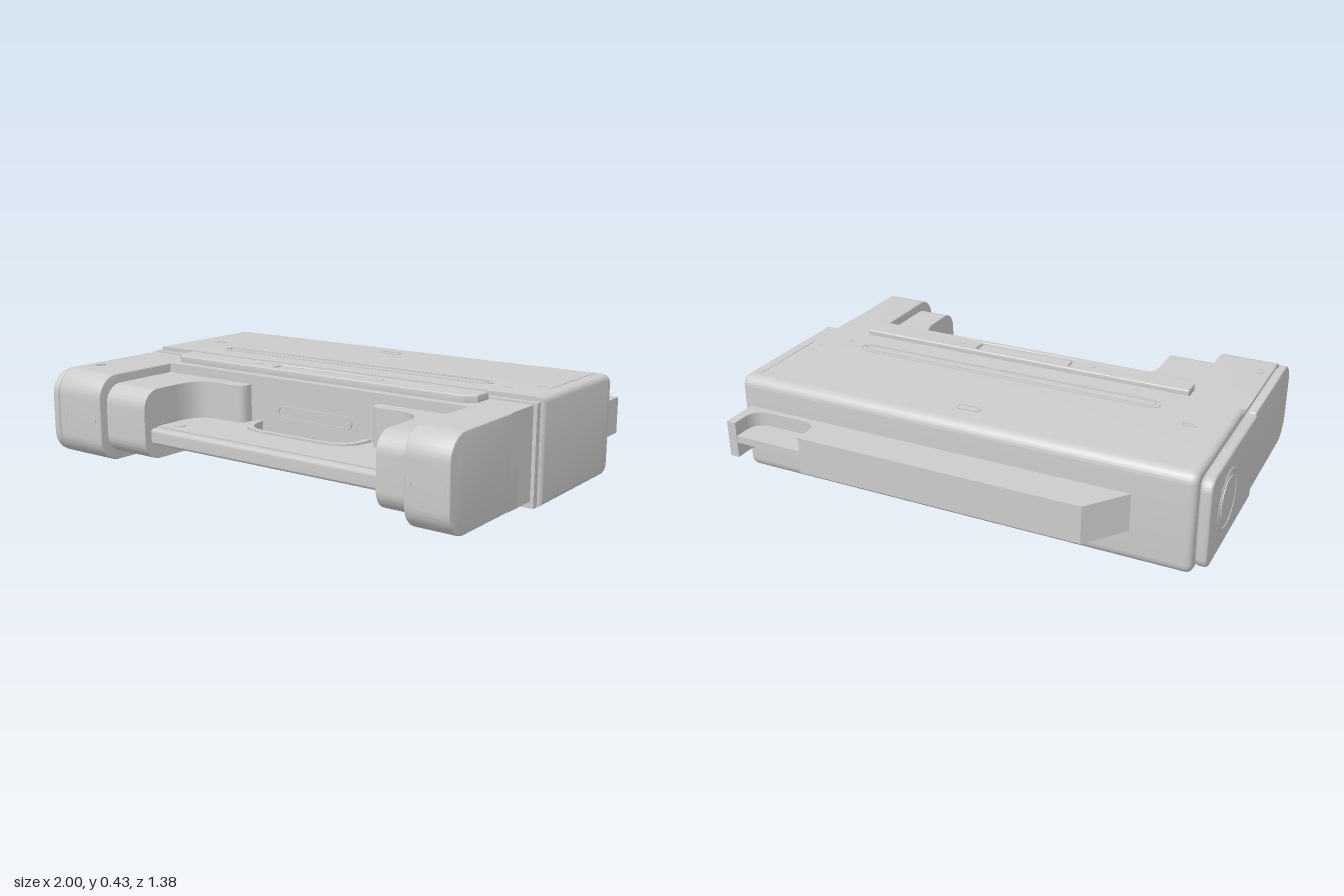
import * as THREE from 'three';
import { toCreasedNormals } from 'three/addons/utils/BufferGeometryUtils.js';

const material = new THREE.MeshStandardMaterial({ color: 0xcccccc });

function add(group, name, geometry) {
  const mesh = new THREE.Mesh(toCreasedNormals(geometry, 0.5), material);
  mesh.name = name;
  group.add(mesh);
  return mesh;
}

function extrude(shape, depth, bevel) {
  return new THREE.ExtrudeGeometry(shape, {
    depth: depth - 2 * bevel, curveSegments: 12, bevelEnabled: bevel > 0,
    bevelSize: bevel, bevelThickness: bevel, bevelOffset: -bevel, bevelSegments: 4,
  }).translate(0, 0, bevel);
}

// Rectangle with separate corner radii at its low and high u ends
function roundRect(u0, v0, u1, v1, rLow, rHigh = rLow, s = new THREE.Shape()) {
  const h = Math.PI / 2;
  s.moveTo(u0 + rLow, v0);
  s.lineTo(u1 - rHigh, v0);
  if (rHigh) s.absarc(u1 - rHigh, v0 + rHigh, rHigh, -h, 0);
  else s.lineTo(u1, v0);
  s.lineTo(u1, v1 - rHigh);
  if (rHigh) s.absarc(u1 - rHigh, v1 - rHigh, rHigh, 0, h);
  s.lineTo(u0 + rLow, v1);
  if (rLow) s.absarc(u0 + rLow, v1 - rLow, rLow, h, 2 * h);
  else s.lineTo(u0, v1);
  s.lineTo(u0, v0 + rLow);
  if (rLow) s.absarc(u0 + rLow, v0 + rLow, rLow, 2 * h, 3 * h);
  return s;
}

// Side profile (back z0 to front z1, y0 to y1) swept from x0 to x1
function sideBlock(x0, x1, y0, y1, z0, z1, rBack, rFront, bevel = 0) {
  return extrude(roundRect(-z1, y0, -z0, y1, rFront, rBack), x1 - x0, bevel)
    .rotateY(Math.PI / 2).translate(x0, 0, 0);
}

// Plan outline drawn as (x, -z), raised from y0 to y1
function plan(shape, y0, y1, bevel = 0) {
  return extrude(shape, y1 - y0, bevel).rotateX(-Math.PI / 2).translate(0, y0, 0);
}

// Points of a U-shaped outline with rounded bottom corners, as (x, -z)
function uPoints(x0, x1, zOpen, zEnd, r) {
  const d = Math.sign(zEnd - zOpen);
  const p = new THREE.Path();
  p.moveTo(x0, -zOpen);
  p.lineTo(x0, -(zEnd - d * r));
  p.quadraticCurveTo(x0, -zEnd, x0 + r, -zEnd);
  p.lineTo(x1 - r, -zEnd);
  p.quadraticCurveTo(x1, -zEnd, x1, -(zEnd - d * r));
  p.lineTo(x1, -zOpen);
  return p.getPoints(10);
}

// Thin outline around a capsule-shaped slot on a top surface
function slotFrame(group, name, cx, cz, w, d, y, t = 0.006) {
  const r = Math.min(w, d) / 2;
  const s = roundRect(cx - w / 2, -cz - d / 2, cx + w / 2, -cz + d / 2, r * 0.98);
  s.holes.push(roundRect(cx - w / 2 + t, -cz - d / 2 + t, cx + w / 2 - t, -cz + d / 2 - t,
    (r - t) * 0.98, undefined, new THREE.Path()));
  add(group, name, plan(s, y - 0.004, y + 0.003));
}

function screw(group, x, y, z, r, facing) {
  const g = new THREE.CylinderGeometry(r, r, 0.008, 16);
  if (facing === 'front') g.rotateX(Math.PI / 2);
  add(group, 'screw', g.translate(x, y, z));
}

export function createModel() {
  const g = new THREE.Group();
  g.name = 'dockingUnit';

  // Rear housing and its front rim
  add(g, 'rearHousing', sideBlock(-0.95, 1, 0, 0.42, -0.53, 0.08, 0.045, 0, 0.025));
  add(g, 'housingRim', sideBlock(-0.945, 0.985, 0.003, 0.402, 0.05, 0.105, 0, 0));

  // Front casing: cross wall, outer arms, stepped inner arms
  add(g, 'crossWall', sideBlock(-0.95, 0.97, 0.03, 0.395, 0.05, 0.27, 0, 0));
  for (const [x0, x1] of [[-0.95, -0.7], [0.79, 0.97]])
    add(g, 'outerArm', sideBlock(x0, x1, 0.03, 0.395, 0.2, 0.685, 0, 0.1, 0.006));
  for (const [x0, x1] of [[-0.71, -0.48], [0.65, 0.8]])
    add(g, 'innerArm', sideBlock(x0, x1, 0.065, 0.355, 0.2, 0.645, 0, 0.08));

  // Curved shoulders at the back of the bay, mirrored about its middle
  const bayX = 0.085;
  for (const m of [1, -1]) {
    const s = new THREE.Shape();
    const X = (x) => bayX + m * (x - bayX);
    s.moveTo(X(-0.5), -0.25);
    s.lineTo(X(-0.5), -0.45);
    s.lineTo(X(-0.48), -0.45);
    s.quadraticCurveTo(X(-0.475), -0.33, X(-0.37), -0.33);
    s.lineTo(X(-0.275), -0.33);
    s.quadraticCurveTo(X(-0.235), -0.33, X(-0.235), -0.29);
    s.lineTo(X(-0.235), -0.25);
    add(g, 'bayShoulder', plan(s, 0.065, 0.355));
  }

  // Shelf across the bay with a finger notch, rim and front lip
  const shelf = new THREE.Shape([
    new THREE.Vector2(-0.49, -0.26), new THREE.Vector2(-0.49, -0.575),
    new THREE.Vector2(0.66, -0.575), new THREE.Vector2(0.66, -0.26),
    ...uPoints(-0.2, 0.37, 0.26, 0.415, 0.14).reverse(),
  ]);
  add(g, 'shelf', plan(shelf, 0.13, 0.2));
  const rim = new THREE.Shape([
    ...uPoints(-0.2, 0.37, 0.26, 0.415, 0.14),
    ...uPoints(-0.175, 0.345, 0.26, 0.395, 0.125).reverse(),
  ]);
  add(g, 'notchRim', plan(rim, 0.13, 0.208));
  add(g, 'shelfLip', sideBlock(-0.485, 0.655, 0.13, 0.195, 0.55, 0.61, 0, 0.012));
  for (const x of [-0.41, 0.585]) screw(g, x, 0.2, 0.515, 0.024);

  // Slot plate on the back wall of the bay
  const plate = roundRect(-0.095, 0.23, 0.28, 0.285, 0.027);
  plate.holes.push(roundRect(-0.087, 0.238, 0.272, 0.277, 0.019, undefined, new THREE.Path()));
  add(g, 'baySlot', extrude(plate, 0.008, 0).translate(0, 0, 0.268));

  // Raised panel on the cross wall, front corners cut off
  const panel = new THREE.Shape();
  [[-0.71, -0.115], [-0.71, -0.195], [-0.67, -0.23], [0.75, -0.23], [0.79, -0.195], [0.79, -0.115]]
    .forEach(([x, y], i) => (i ? panel.lineTo(x, y) : panel.moveTo(x, y)));
  panel.holes.push(roundRect(-0.18, -0.205, 0.26, -0.135, 0.01, undefined, new THREE.Path()));
  add(g, 'topPanel', plan(panel, 0.39, 0.425, 0.006));
  add(g, 'panelInset', new THREE.BoxGeometry(0.42, 0.03, 0.055).translate(0.04, 0.404, 0.17));
  for (const x of [-0.27, 0.34]) screw(g, x, 0.423, 0.17, 0.016);

  // End plates and the round knob on the right end
  add(g, 'rearEndPlate', sideBlock(-1, -0.957, 0.025, 0.395, -0.51, 0.095, 0.05, 0.02, 0.01));
  add(g, 'frontEndPlate', sideBlock(-0.99, -0.957, 0.03, 0.39, 0.105, 0.683, 0.01, 0.1, 0.006));
  add(g, 'endPlateCore', sideBlock(-0.97, -0.93, 0.04, 0.38, -0.48, 0.65, 0.04, 0.08));
  add(g, 'knobRing', new THREE.TorusGeometry(0.115, 0.012, 10, 40)
    .rotateY(Math.PI / 2).translate(-0.992, 0.21, -0.28));
  add(g, 'knob', new THREE.CylinderGeometry(0.09, 0.095, 0.012, 40)
    .rotateZ(Math.PI / 2).translate(-0.998, 0.21, -0.28));

  // Rear ledge with a slanted end and a finger recess over a thin web
  const ledge = new THREE.Shape([
    new THREE.Vector2(-0.735, 0.5), new THREE.Vector2(0.965, 0.5), new THREE.Vector2(0.965, 0.688),
    ...uPoints(0.62, 0.925, -0.688, -0.555, 0.075).reverse(),
    new THREE.Vector2(-0.585, 0.688),
  ]);
  add(g, 'rearLedge', plan(ledge, 0.135, 0.29));
  add(g, 'recessWeb', new THREE.BoxGeometry(0.32, 0.03, 0.145).translate(0.775, 0.215, -0.613));

  // Slots, seam and screws on the top
  slotFrame(g, 'longSlot', 0.033, -0.052, 1.37, 0.075, 0.42);
  slotFrame(g, 'longSlotInner', 0.033, -0.048, 1.33, 0.045, 0.42, 0.004);
  slotFrame(g, 'rearSlot', 0.015, -0.395, 0.1, 0.042, 0.42);
  slotFrame(g, 'smallSlot', -0.8, -0.165, 0.055, 0.026, 0.42, 0.005);
  slotFrame(g, 'armSlot', -0.905, 0.49, 0.026, 0.058, 0.395, 0.005);
  add(g, 'topSeam', new THREE.BoxGeometry(0.005, 0.006, 0.39).translate(0.942, 0.419, -0.285));
  screw(g, 0.9, 0.418, -0.11, 0.013);
  screw(g, 0.805, 0.418, -0.015, 0.013);

  // Screws on the front of the arms
  for (const x of [-0.91, -0.735, 0.81, 0.94]) screw(g, x, 0.21, 0.684, 0.011, 'front');

  return g;
}
